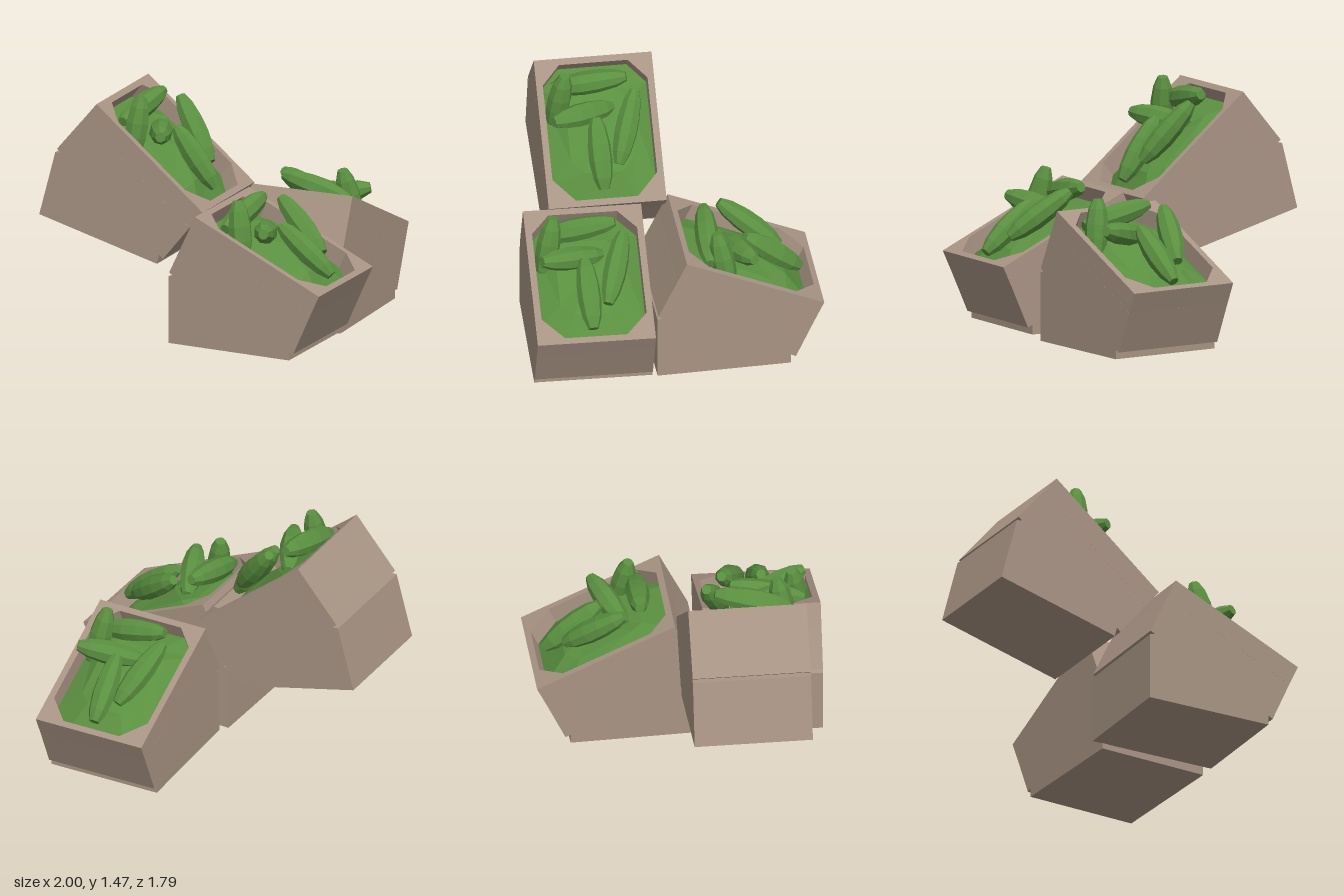
import * as THREE from 'three';

const WIDTH = 0.72, SLOPE = -0.433, LENGTH = 0.929, RIM_DEPTH = 0.14;
const crateMaterial = new THREE.MeshStandardMaterial({ name: 'tan crate', color: 0xa89484, flatShading: true });
const greenMaterial = new THREE.MeshStandardMaterial({ name: 'cucumber green', color: 0x5a9040, flatShading: true });

// Octagonal opening in the sloping top, as (along slope, across)
const OPENING = [
  [0.889, -0.19], [0.889, 0.19], [0.75, 0.32], [0.16, 0.32],
  [0.04, 0.21], [0.04, -0.21], [0.16, -0.32], [0.75, -0.32],
];

function named(name, geometry, material) {
  const mesh = new THREE.Mesh(geometry, material);
  mesh.name = name;
  return mesh;
}

// Lower crate: side profile with the small grooves front and back
function bodyGeometry() {
  const profile = [
    [0, 0], [0.82, 0], [0.82, 0.06], [0.85, 0.045], [0.965, 0.303],
    [0.122, 0.693], [0.005, 0.445], [0.034, 0.43], [0, 0.42],
  ].map(([x, y]) => new THREE.Vector2(x, y));
  return new THREE.ExtrudeGeometry(new THREE.Shape(profile), { depth: WIDTH, bevelEnabled: false })
    .translate(0, 0, -WIDTH / 2);
}

// Sloping upper frame with the chamfered opening
function rimGeometry() {
  const h = WIDTH / 2;
  const shape = new THREE.Shape([[0, -h], [LENGTH, -h], [LENGTH, h], [0, h]].map(p => new THREE.Vector2(...p)));
  shape.holes.push(new THREE.Path(OPENING.map(p => new THREE.Vector2(...p))));
  return new THREE.ExtrudeGeometry(shape, { depth: RIM_DEPTH, bevelEnabled: false }).rotateX(Math.PI / 2);
}

// Faceted heap filling the opening: rings shrinking and rising to the middle
function heapGeometry() {
  const rings = [[1, -0.11], [0.6, -0.035], [0, -0.005]];
  const mid = 0.4645, n = OPENING.length, points = [], index = [];
  rings.forEach(([scale, y], r) => OPENING.forEach(([s, w], i) => {
    const bump = r === 1 ? 0.015 * Math.sin(i * 2.4) : 0;
    points.push(mid + (s - mid) * scale, y + bump, w * scale);
  }));
  for (let r = 0; r < 2; r++) {
    for (let i = 0; i < n; i++) {
      const j = (i + 1) % n, a = r * n + i, b = r * n + j;
      index.push(a, a + n, b);
      if (r === 0) index.push(b, a + n, b + n);
    }
  }
  const geometry = new THREE.BufferGeometry();
  geometry.setAttribute('position', new THREE.Float32BufferAttribute(points, 3));
  geometry.setIndex(index);
  geometry.computeVertexNormals();
  return geometry;
}

// Tapered eight-sided cucumber with blunt ends, one unit long
const cucumberGeometry = new THREE.LatheGeometry(
  [[0, -0.5], [0.03, -0.5], [0.055, -0.36], [0.07, -0.12], [0.072, 0.1], [0.058, 0.34], [0.032, 0.5], [0, 0.5]]
    .map(p => new THREE.Vector2(...p)), 8);

function cucumber(from, to) {
  const a = new THREE.Vector3(...from), b = new THREE.Vector3(...to);
  const mesh = named('cucumber', cucumberGeometry, greenMaterial);
  const axis = b.clone().sub(a);
  mesh.scale.y = axis.length();
  mesh.quaternion.setFromUnitVectors(new THREE.Vector3(0, 1, 0), axis.normalize());
  mesh.position.copy(a.add(b).multiplyScalar(0.5));
  return mesh;
}

// End points of the loose cucumbers in crate space
const CUCUMBERS = [
  [[0.47, 0.83, -0.22], [0.82, 0.56, -0.09]],
  [[0.59, 0.74, 0.03], [0.93, 0.46, 0.01]],
  [[0.45, 0.66, -0.09], [0.61, 0.75, 0.29]],
  [[0.37, 0.84, -0.18], [0.34, 0.74, 0.27]],
  [[0.46, 0.52, 0.27], [0.39, 0.91, 0.20]],
];

function createCrate(name) {
  const crate = new THREE.Group();
  crate.name = name;
  crate.add(named('crateBody', bodyGeometry(), crateMaterial));
  const top = new THREE.Group();
  top.name = 'slopingTop';
  top.position.set(0.181, 0.82, 0);
  top.rotation.z = SLOPE;
  top.add(named('crateRim', rimGeometry(), crateMaterial), named('cucumberHeap', heapGeometry(), greenMaterial));
  crate.add(top);
  CUCUMBERS.forEach(([from, to]) => crate.add(cucumber(from, to)));
  return crate;
}

export function createModel() {
  const model = new THREE.Group();
  model.name = 'cucumberCrates';
  // Name, position of the bottom back edge, turn and tilt in degrees
  const places = [
    ['frontCrate', [-0.041, 0.036, 0.482], -2.8, 0],
    ['tiltedCrate', [-0.99, 0.684, 0.297], -1.6, -14.9],
    ['backCrate', [0.402, 0, 0.128], 90.4, 0],
  ];
  for (const [name, position, turn, tilt] of places) {
    const crate = createCrate(name);
    crate.position.set(...position);
    crate.rotation.set(0, THREE.MathUtils.degToRad(turn), THREE.MathUtils.degToRad(tilt));
    model.add(crate);
  }
  return model;
}
